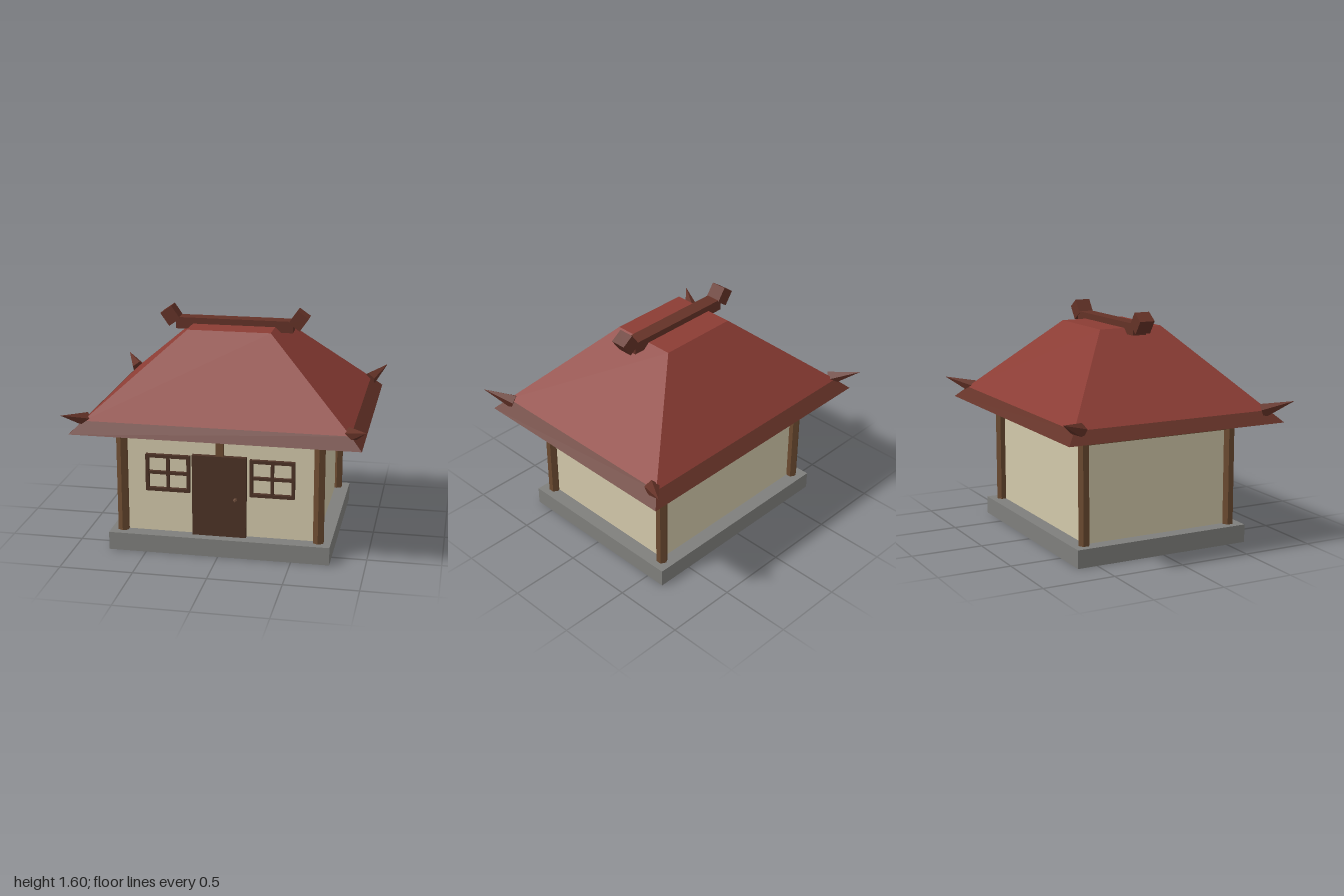
import * as THREE from 'three';

const mat = (name, color, side = THREE.FrontSide) => {
  const m = new THREE.MeshStandardMaterial({ color, side, flatShading: true });
  m.name = name;
  return m;
};

// Four-sided frustum from two rectangles given as half sizes [x, z] at heights y0 and y1
function frustum(y0, [x0, z0], y1, [x1, z1]) {
  const g = new THREE.BoxGeometry(2, 1, 2);
  const p = g.attributes.position;
  for (let i = 0; i < p.count; i++) {
    const top = p.getY(i) > 0;
    p.setXYZ(i, p.getX(i) * (top ? x1 : x0), top ? y1 : y0, p.getZ(i) * (top ? z1 : z0));
  }
  g.computeVertexNormals();
  return g;
}

export function createModel() {
  const stone = mat('stone grey', 0x7f7f7c);
  const plaster = mat('plaster', 0xd2c8aa);
  const timber = mat('timber brown', 0x6b4a30);
  const darkWood = mat('dark wood', 0x4c3226);
  const tile = mat('roof red', 0x8b3c34);
  const trim = mat('trim red brown', 0x643227);
  const knobMat = mat('knob brown', 0x6a4a38);

  const house = new THREE.Group();
  house.name = 'house';
  const add = (name, geometry, material, x = 0, y = 0, z = 0, parent = house) => {
    const mesh = new THREE.Mesh(geometry, material);
    mesh.name = name;
    mesh.position.set(x, y, z);
    parent.add(mesh);
    return mesh;
  };
  const box = (name, w, h, d, material, x, y, z, parent) =>
    add(name, new THREE.BoxGeometry(w, h, d), material, x, y, z, parent);

  // Foundation and walls
  box('foundation', 1.52, 0.125, 1.28, stone, 0, 0.0625, 0);
  box('walls', 1.32, 0.745, 1.08, plaster, 0, 0.4925, 0);

  // Corner posts and top beams
  for (const sx of [-1, 1]) {
    for (const sz of [-1, 1]) {
      add('cornerPost', new THREE.CylinderGeometry(0.04, 0.04, 0.745, 6), timber, sx * 0.675, 0.4925, sz * 0.555);
    }
  }
  for (const s of [-1, 1]) {
    box('longBeam', 1.35, 0.075, 0.05, timber, 0, 0.829, s * 0.545);
    box('sideBeam', 0.05, 0.075, 1.11, timber, s * 0.665, 0.829, 0);
  }
  box('doorPost', 0.05, 0.12, 0.04, timber, 0, 0.735, 0.545);

  // Door
  box('door', 0.37, 0.57, 0.06, darkWood, -0.003, 0.41, 0.545);
  add('doorKnob', new THREE.IcosahedronGeometry(0.016, 0), knobMat, 0.11, 0.395, 0.58);

  // Windows: frame and cross bars over the plaster
  for (const s of [-1, 1]) {
    const win = new THREE.Group();
    win.name = 'window';
    win.position.set(s * 0.358, 0.552, 0.55);
    house.add(win);
    for (const t of [-1, 1]) {
      box('frameRail', 0.306, 0.022, 0.04, darkWood, 0, t * 0.119, 0, win);
      box('frameStile', 0.022, 0.26, 0.04, darkWood, t * 0.142, 0, 0, win);
    }
    box('crossRail', 0.28, 0.02, 0.03, darkWood, 0, 0, 0, win);
    box('crossStile', 0.02, 0.24, 0.03, darkWood, 0, 0, 0, win);
  }

  // Hipped roof with a darker eave band
  add('eave', frustum(0.866, [0.97, 0.8], 0.943, [0.89, 0.726]), trim);
  add('roof', frustum(0.943, [0.89, 0.726], 1.475, [0.287, 0.233]), tile);

  // Ridge beam with tilted end blocks
  box('ridgeBeam', 0.82, 0.08, 0.1, trim, 0, 1.477, 0);
  for (const s of [-1, 1]) {
    box('ridgeEnd', 0.095, 0.108, 0.11, trim, s * 0.449, 1.524, 0).rotation.z = -s * 0.61;
  }

  // Upturned spikes at the roof corners
  const base = new THREE.Vector3(0.882, 0.938, 0.68);
  const tip = new THREE.Vector3(1, 1.012, 0.857);
  const length = base.distanceTo(tip);
  const spike = new THREE.ConeGeometry(0.052, length, 5);
  spike.translate(0, length / 2, 0).rotateY(Math.PI).rotateX(Math.PI / 2);
  for (const sx of [-1, 1]) {
    for (const sz of [-1, 1]) {
      add('cornerSpike', spike, trim, sx * base.x, base.y, sz * base.z).lookAt(sx * tip.x, tip.y, sz * tip.z);
    }
  }
  return house;
}
